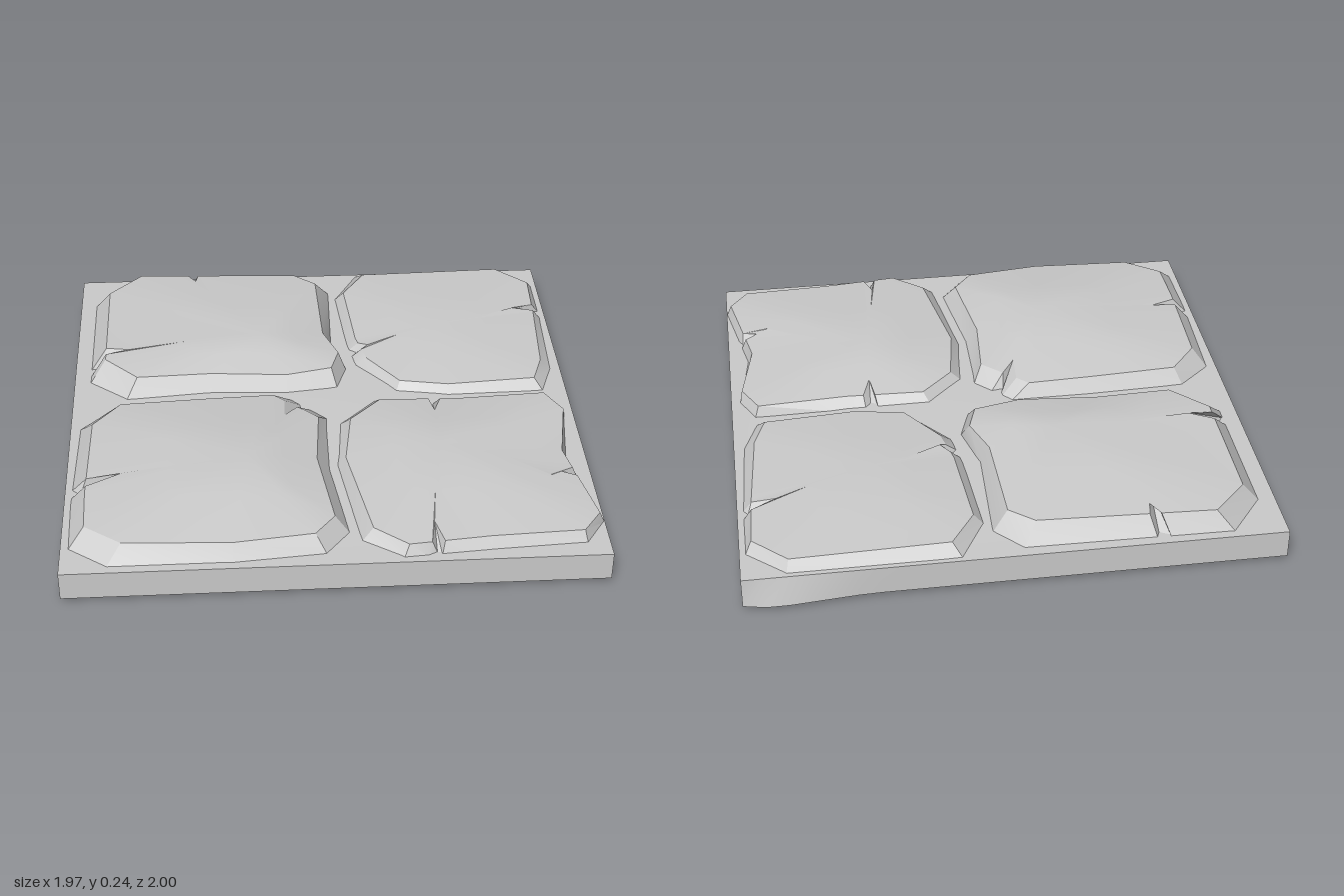
import * as THREE from 'three';
import { toCreasedNormals } from 'three/addons/utils/BufferGeometryUtils.js';

const material = new THREE.MeshStandardMaterial({ color: 0xcccccc });
const mix = (a, b, t) => a + (b - a) * t;
// 0 at both ends, 1 at the middle point
const tent = (v, a, m, b) => Math.max(0, Math.min((v - a) / (m - a), (b - v) / (b - m)));

function addMesh(group, name, geometry, crease) {
  const mesh = new THREE.Mesh(toCreasedNormals(geometry, crease), material);
  mesh.name = name;
  group.add(mesh);
}

// Slab with a slightly swollen underside and raised joints between the stones
function slabGeometry() {
  const g = new THREE.BoxGeometry(1.965, 0.11, 1.97, 24, 1, 24);
  g.translate(0.0025, 0.07, 0.015);
  const p = g.attributes.position;
  for (let i = 0; i < p.count; i++) {
    const x = p.getX(i), y = p.getY(i), z = p.getZ(i);
    if (y < 0.07) {
      p.setY(i, y - 0.015 * Math.min(1, 2.5 * tent(x, -0.02, 0.6, 0.985) * tent(z, -0.97, -0.45, 0.12)));
      if (z < -0.96) p.setZ(i, z - 0.03 * tent(x, 0.54, 0.88, 1.02));
      if (x < -0.97) p.setX(i, x - 0.01 * tent(z, 0.55, 0.73, 0.87));
    } else {
      const edge = Math.min(1, 4 * Math.min(0.985 - Math.abs(x), 1 - z, z + 0.97));
      p.setY(i, y + 0.012 * Math.max(0, edge) * Math.max(0, 1 - Math.hypot(x - 0.06, z) / 0.8));
    }
  }
  return g;
}

// Paving stone. Points are [outer x, outer z, rim x, rim z], clockwise from above.
// Cracks are [segment, position along it, tip x, tip z].
function stoneGeometry(rim, peak, points, cracks) {
  const outer = [], inner = [], middle = [];
  const add = (c, tip) => {
    const [ox, oz, ix, iz] = c;
    outer.push(tip ? [mix(ox, ix, 0.6), 0.125, mix(oz, iz, 0.6)] : [ox, 0.12, oz]);
    inner.push(tip ? [tip[0], rim + 0.012, tip[1]] : [ix, rim, iz]);
    middle.push([mix(ix, peak[0], 0.5), mix(rim, peak[1], 0.56), mix(iz, peak[2], 0.5)]);
  };
  points.forEach((a, i) => {
    const b = points[(i + 1) % points.length];
    add(a);
    const half = 0.025 / Math.hypot(b[0] - a[0], b[1] - a[1]);
    for (const [segment, t, x, z] of cracks) {
      if (segment !== i) continue;
      const at = s => a.map((v, k) => mix(v, b[k], s));
      add(at(t - half));
      add(at(t), [x, z]);
      add(at(t + half));
    }
  });
  const n = outer.length;
  const vertices = [...outer.map(([x, , z]) => [x, 0.06, z]), ...outer, ...inner, ...middle, peak];
  const index = [];
  for (let i = 0; i < n; i++) {
    const j = (i + 1) % n;
    for (let r = 0; r < 3; r++) {
      const a = r * n + i, b = r * n + j;
      index.push(a, a + n, b + n, a, b + n, b);
    }
    index.push(3 * n + i, 4 * n, 3 * n + j);
  }
  const g = new THREE.BufferGeometry();
  g.setAttribute('position', new THREE.Float32BufferAttribute(vertices.flat(), 3));
  g.setIndex(index);
  return g;
}

export function createModel() {
  const group = new THREE.Group();
  group.name = 'pavingTile';
  addMesh(group, 'slab', slabGeometry(), 0.5);

  const stone = (name, ...args) => addMesh(group, name, stoneGeometry(...args), 0.35);

  stone('backRightStone', 0.195, [-0.22, 0.235, -0.35], [
    [-0.92, -0.77, -0.855, -0.76], [-0.79, -0.94, -0.725, -0.895],
    [-0.02, -0.93, -0.07, -0.865], [0.08, -0.82, 0.02, -0.79],
    [0.07, -0.4, 0.03, -0.4], [0.12, -0.21, 0.085, -0.25],
    [0.075, -0.075, 0.05, -0.14], [-0.13, -0.055, -0.13, -0.1],
    [-0.43, -0.08, -0.43, -0.125], [-0.77, -0.06, -0.725, -0.115],
    [-0.92, -0.185, -0.855, -0.25],
  ], [[1, 0.34, -0.51, -0.73], [10, 0.12, -0.76, -0.3]]);

  stone('backLeftStone', 0.163, [0.5, 0.19, -0.45], [
    [0.1, -0.77, 0.14, -0.76], [0.2, -0.955, 0.235, -0.905],
    [0.825, -0.955, 0.815, -0.92], [0.965, -0.83, 0.94, -0.8],
    [0.965, -0.56, 0.93, -0.56], [0.95, -0.185, 0.905, -0.2],
    [0.895, -0.03, 0.86, -0.07], [0.51, -0.01, 0.51, -0.045],
    [0.3, -0.04, 0.32, -0.08], [0.14, -0.24, 0.2, -0.25],
    [0.12, -0.4, 0.165, -0.4],
  ], [[3, 0.85, 0.84, -0.58], [9, 0.6, 0.21, -0.33]]);

  stone('frontRightStone', 0.185, [-0.3, 0.24, 0.49], [
    [-0.945, 0.13, -0.89, 0.185], [-0.815, 0.015, -0.785, 0.055],
    [-0.44, -0.01, -0.44, 0.035], [-0.1, -0.02, -0.19, 0.025],
    [0.025, 0.11, -0.02, 0.185], [0.015, 0.45, -0.04, 0.45],
    [0.06, 0.825, 0.005, 0.8], [-0.03, 0.94, -0.07, 0.895],
    [-0.365, 0.97, -0.365, 0.93], [-0.815, 0.97, -0.76, 0.91],
    [-0.955, 0.865, -0.895, 0.81], [-0.96, 0.61, -0.9, 0.61],
  ], [[3, 0.4, -0.15, 0.18], [11, 0.14, -0.72, 0.49]]);

  stone('frontLeftStone', 0.165, [0.42, 0.205, 0.4], [
    [0.05, 0.16, 0.105, 0.175], [0.2, 0.005, 0.23, 0.05],
    [0.535, 0.015, 0.535, 0.06], [0.895, 0.02, 0.88, 0.04],
    [0.95, 0.13, 0.94, 0.155], [0.91, 0.425, 0.89, 0.425],
    [0.985, 0.81, 0.965, 0.81], [0.905, 0.93, 0.895, 0.905],
    [0.56, 0.95, 0.56, 0.92], [0.24, 0.975, 0.26, 0.95],
    [0.095, 0.875, 0.14, 0.85], [0.03, 0.425, 0.07, 0.425],
  ], [[1, 0.7, 0.435, 0.15], [5, 0.35, 0.82, 0.59], [8, 0.65, 0.36, 0.84]]);

  return group;
}
